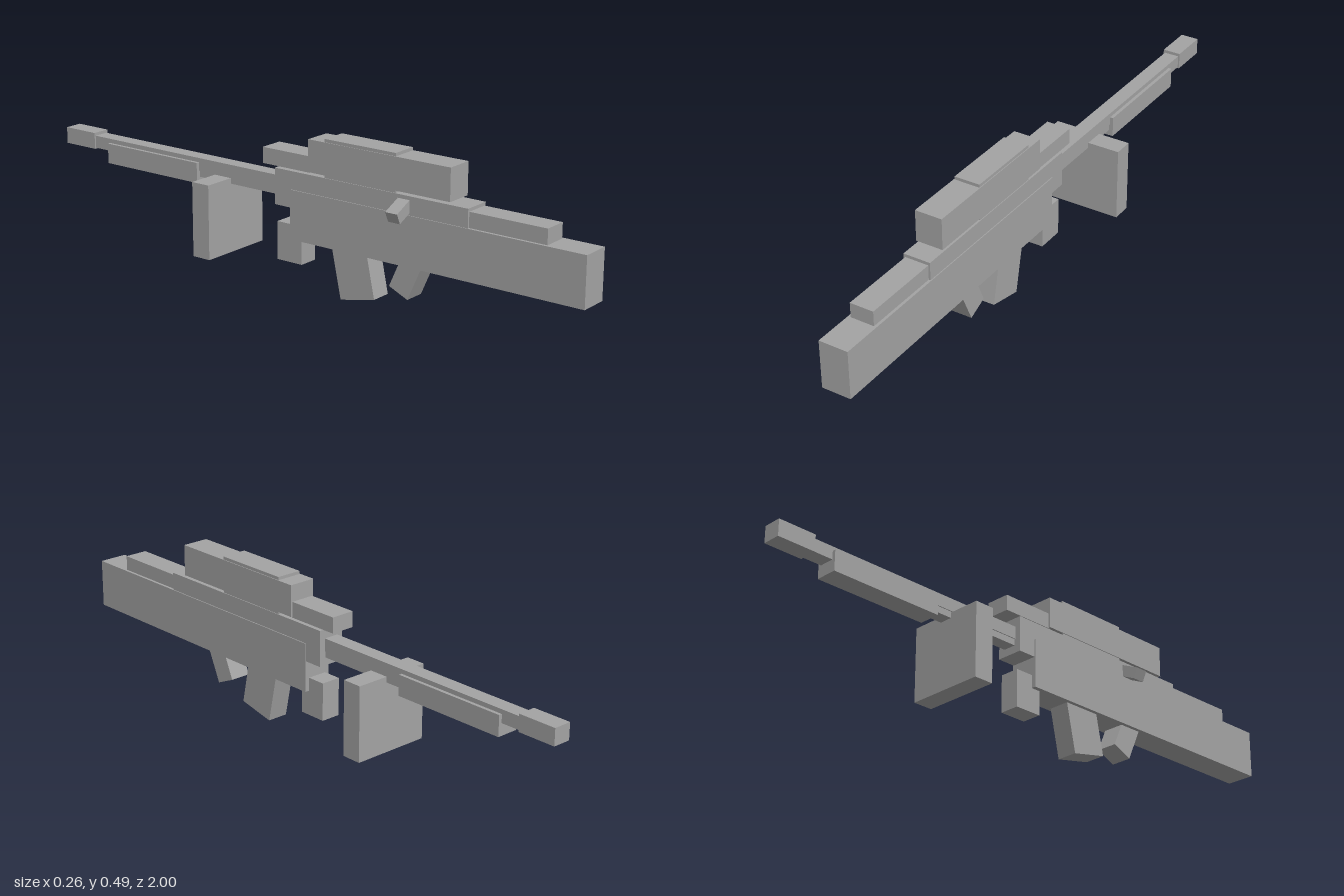
import * as THREE from 'three';

export function createModel() {
  const model = new THREE.Group();
  const grey = new THREE.MeshStandardMaterial({ color: 0xa3a3a3 });
  grey.name = 'grey';

  // Box given by half width and its y and z ranges
  function block(name, halfX, y0, y1, z0, z1) {
    const mesh = new THREE.Mesh(new THREE.BoxGeometry(2 * halfX, y1 - y0, z1 - z0), grey);
    mesh.name = name;
    mesh.position.set(0, (y0 + y1) / 2, (z0 + z1) / 2);
    model.add(mesh);
    return mesh;
  }

  // Tilted box hanging below the body; y, z mark the middle of its lower end
  function hanging(name, halfX, depth, length, y, z, degrees) {
    const geometry = new THREE.BoxGeometry(2 * halfX, length, depth);
    geometry.translate(0, length / 2, 0);
    const mesh = new THREE.Mesh(geometry, grey);
    mesh.name = name;
    mesh.position.set(0, y, z);
    mesh.rotation.x = THREE.MathUtils.degToRad(degrees);
    model.add(mesh);
  }

  // Stock and receiver
  block('stock', 0.048, 0.16, 0.318, -0.03, 1);
  block('receiver', 0.045, 0.26, 0.376, -0.092, 0.612);
  block('cheekRest', 0.039, 0.3, 0.366, 0.6, 0.87);

  // Scope, its mount and the block ahead of it
  block('scope', 0.045, 0.384, 0.486, 0.037, 0.55);
  block('scopeMount', 0.0425, 0.37, 0.496, 0.097, 0.357);
  block('frontSight', 0.04, 0.381, 0.432, -0.143, 0.04);

  // Barrel group
  block('barrel', 0.025, 0.306, 0.347, -0.88, -0.08);
  block('barrelUnderside', 0.022, 0.285, 0.32, -0.43, -0.08);
  block('handguard', 0.036, 0.267, 0.333, -0.806, -0.418);
  block('muzzle', 0.03, 0.303, 0.357, -1, -0.872);

  // Broad plate below the barrel and the block below the receiver
  block('supportPlate', 0.13, 0.061, 0.303, -0.354, -0.288);
  block('frontBlock', 0.033, 0.08, 0.203, -0.092, 0.002);

  // Magazine and rear grip
  hanging('magazine', 0.035, 0.128, 0.2, 0.0145, 0.217, -12);
  hanging('rearGrip', 0.035, 0.073, 0.16, 0.069, 0.367, 24);

  // Side handle on the -x side
  const handle = new THREE.Mesh(new THREE.BoxGeometry(0.08, 0.036, 0.042), grey);
  handle.name = 'sideHandle';
  handle.position.set(-0.063, 0.336, 0.389);
  handle.rotation.z = THREE.MathUtils.degToRad(25);
  model.add(handle);

  return model;
}
